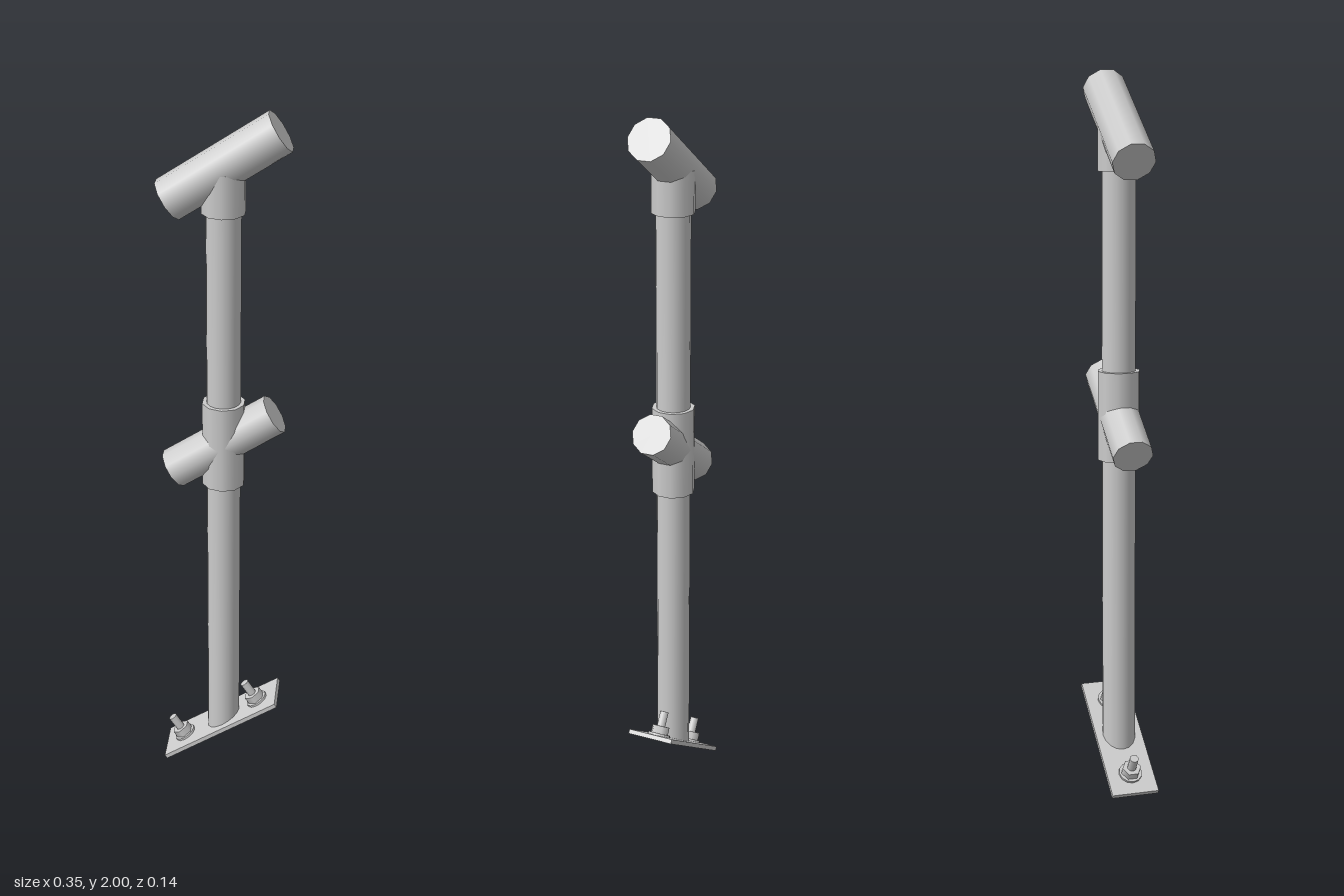
import * as THREE from 'three';

const TILT = 0.58; // shared slope of rail fittings and base plate
const SIDES = 10;

export function createModel() {
  const model = new THREE.Group();
  const material = new THREE.MeshStandardMaterial({ color: 0xcccccc });

  function add(parent, name, geometry, x = 0, y = 0, z = 0) {
    const mesh = new THREE.Mesh(geometry, material);
    mesh.name = name;
    mesh.position.set(x, y, z);
    parent.add(mesh);
    return mesh;
  }

  // Upright cylinder between two heights
  const tube = (radius, y0, y1, sides = SIDES) =>
    new THREE.CylinderGeometry(radius, radius, y1 - y0, sides).translate(0, (y0 + y1) / 2, 0);

  // Slide the bottom ring along the slope of the plate
  function mitreBottom(geometry, y0) {
    const p = geometry.attributes.position;
    for (let i = 0; i < p.count; i++) {
      if (p.getY(i) < y0 + 0.001) p.setY(i, y0 + p.getX(i) * Math.tan(TILT));
    }
    return geometry;
  }

  // Sloping tube for a handrail
  function railTube(name, radius, length, y) {
    const geometry = new THREE.CylinderGeometry(radius, radius, length, SIDES);
    add(model, name, geometry, 0, y).rotation.z = TILT - Math.PI / 2;
  }

  // Upright post, cut to the slope of the plate
  add(model, 'post', mitreBottom(tube(0.047, 0.122, 1.76, 16), 0.122));

  // Top fitting
  add(model, 'topSocket', tube(0.059, 1.735, 1.85));
  railTube('topRailTube', 0.06, 0.348, 1.86);

  // Middle cross fitting
  add(model, 'middleSleeve', tube(0.06, 0.94, 1.19));
  railTube('middleRailTube', 0.057, 0.335, 1.067);

  // Sloping base plate with two bolts
  const base = new THREE.Group();
  base.name = 'base';
  base.position.set(-0.004, 0.117, 0);
  base.rotation.z = TILT;
  model.add(base);
  add(base, 'basePlate', new THREE.BoxGeometry(0.394, 0.013, 0.135));

  for (const side of [-1, 1]) {
    const bolt = new THREE.Group();
    bolt.name = side < 0 ? 'lowerBolt' : 'upperBolt';
    bolt.position.x = side * 0.13;
    base.add(bolt);
    add(bolt, 'washer', tube(0.033, 0.005, 0.013, 12));
    add(bolt, 'nut', tube(0.027, 0.013, 0.035, 6));
    add(bolt, 'boltShank', tube(0.013, 0.03, 0.078, 8));
  }

  return model;
}
